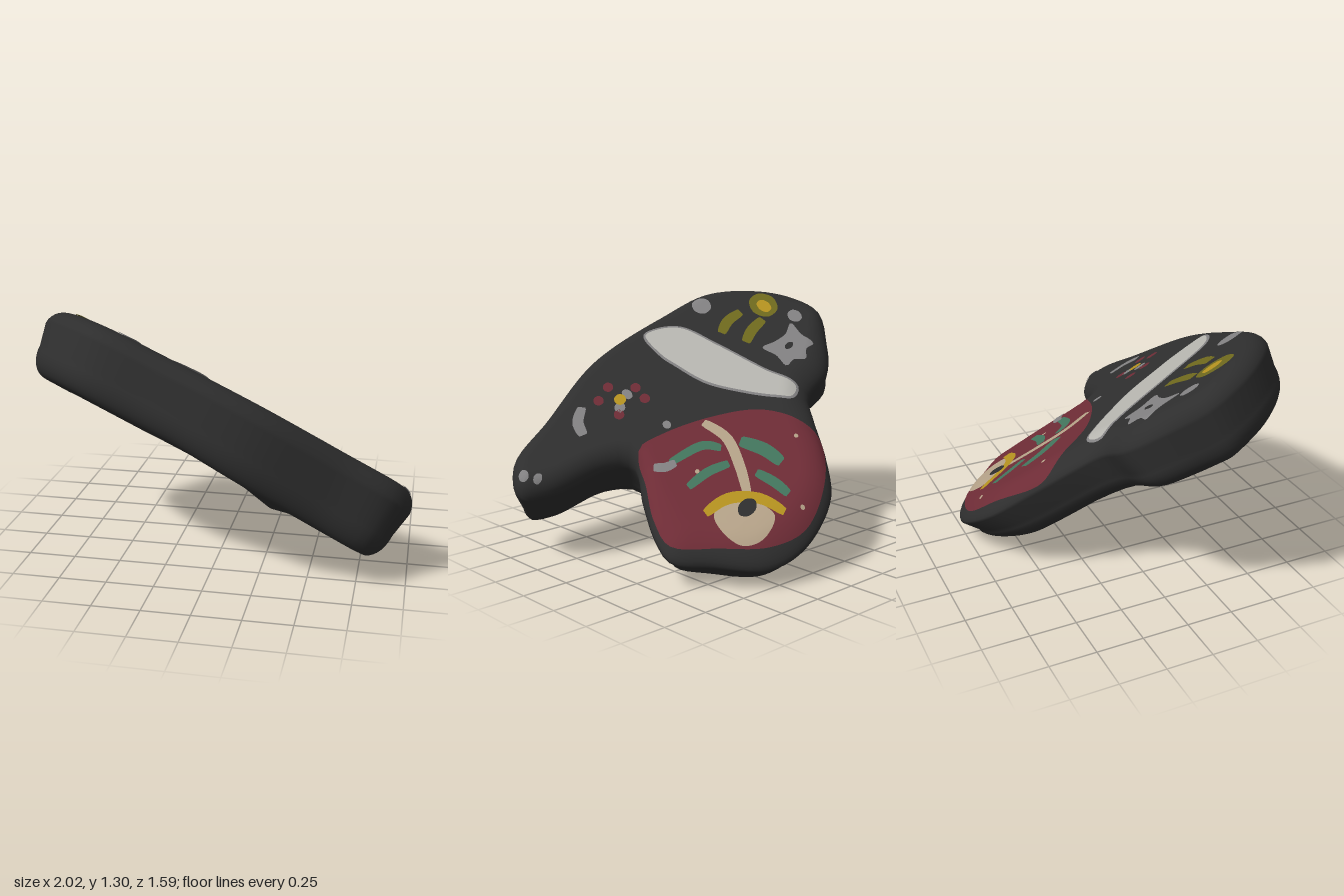
import * as THREE from 'three';
import { mergeVertices } from 'three/addons/utils/BufferGeometryUtils.js';

const mat = (name, color) => new THREE.MeshStandardMaterial({ name, color, side: THREE.DoubleSide });
const charcoal = mat('charcoal', 0x2e2e2e), red = mat('dark red', 0x6e2c36), green = mat('leaf green', 0x42755d);
const pale = mat('pale grey', 0xb7b6b0), grey = mat('mid grey', 0x828182), olive = mat('olive', 0x6f691d);
const gold = mat('gold', 0xb5921f), beige = mat('beige', 0xb5a288);

const EDGE = 0.09, DROP = 0.1, DEPTH = 0.36;
const clamp01 = v => Math.min(1, Math.max(0, v));
const bump = (x, z, cx, cz, r) => Math.exp(-((x - cx) ** 2 + (z - cz) ** 2) / (r * r));

// The slab lies on a tilted plane: x and z place a point on it, w is the height along its normal
const N = new THREE.Vector3(0.483, 1, -0.525).normalize();
function place(x, z, w) {
  if (w < 0) {
    // thicker at the toe and the notch, thinner along the lobe
    w *= 1 + 0.12 * clamp01(2.6 * Math.max(0, x) * Math.max(0, z)) - 0.09 * clamp01(-3 * z)
      + 0.14 * bump(x, z, 0.45, 0.1, 0.15) - 0.2 * bump(x, z, 0.68, -0.35, 0.2);
    // the underside flares out where the lobe meets the wide end
    const flare = 0.1 * -w / DEPTH * bump(x, z, -0.62, -0.22, 0.25);
    x -= 0.55 * flare;
    z -= 0.83 * flare;
  }
  // the lobe tapers and droops at its tip
  const tip = clamp01((-z - 0.55) / 0.28) ** 2;
  w = w * (1 - 0.3 * tip) - 0.04 * tip;
  return [x + w * N.x, 0.79 - 0.483 * x + 0.525 * z + w * N.y, z + w * N.z];
}

// Closed smooth outline through a few points
function smooth(points, count) {
  const curve = new THREE.CatmullRomCurve3(points.map(([x, z]) => new THREE.Vector3(x, z, 0)), true);
  return curve.getSpacedPoints(count).slice(0, -1).map(p => new THREE.Vector2(p.x, p.y));
}

// Moves a closed outline inwards, optionally more in some places
const inset = (pts, d, factor = () => 1) => pts.map((p, i) => {
  const a = pts[(i + pts.length - 1) % pts.length], b = pts[(i + 1) % pts.length];
  const t = b.clone().sub(a).normalize(), k = d * factor(p);
  return new THREE.Vector2(p.x - t.y * k, p.y + t.x * k);
});

const outline = smooth([
  [0.14, -0.83], [0.355, -0.78], [0.55, -0.59], [0.69, -0.44], [0.68, -0.32], [0.595, -0.12], [0.5, 0.07],
  [0.62, 0.16], [0.91, 0.245], [1.035, 0.35], [0.965, 0.5], [0.69, 0.585], [0.35, 0.69], [0.155, 0.705],
  [-0.195, 0.67], [-0.515, 0.61], [-0.75, 0.435], [-0.89, 0.24], [-0.935, 0.05], [-0.82, -0.1],
  [-0.67, -0.22], [-0.47, -0.27], [-0.4, -0.38], [-0.28, -0.59], [-0.14, -0.75]], 130);

const roundness = p => 1 + 0.8 * clamp01(-3 * p.y); // softer rim around the red lobe

function geometry(positions, index) {
  const g = new THREE.BufferGeometry();
  g.setAttribute('position', new THREE.Float32BufferAttribute(positions, 3));
  g.setIndex(index);
  return g;
}

// Hollow slab: rounded rim rows, a closed top and an underside with an opening
function slab() {
  const rows = [], steps = 8, n = outline.length;
  for (let i = 0; i <= steps; i++) {
    const a = i / steps * Math.PI / 2;
    rows.push([EDGE * (1 - Math.sin(a)), -DROP * (1 - Math.cos(a))]);
  }
  for (let i = 0; i <= steps; i++) {
    const a = i / steps * Math.PI / 2;
    rows.push([0.025 + 0.09 * (1 - Math.cos(a)), -DEPTH + 0.14 * (1 - Math.sin(a))]);
  }
  const pos = [], index = [];
  rows.forEach(([d, w]) => inset(outline, d, roundness).forEach(p => pos.push(...place(p.x, p.y, w))));
  for (let r = 0; r < rows.length - 1; r++) {
    for (let i = 0; i < n; i++) {
      const a = r * n + i, b = r * n + (i + 1) % n;
      index.push(a, b, a + n, b, b + n, a + n);
    }
  }
  const top = THREE.ShapeUtils.triangulateShape(inset(outline, EDGE, roundness), []);
  top.forEach(([a, b, c]) => index.push(a, c, b));
  const hole = [[-0.265, 0.12], [-0.03, 0.4], [0.26, 0.3], [0.23, -0.37]].map(p => new THREE.Vector2(...p));
  const base = (rows.length - 1) * n;
  hole.forEach(p => pos.push(...place(p.x, p.y, -DEPTH)));
  const bottom = THREE.ShapeUtils.triangulateShape(inset(outline, 0.115, roundness), [hole]);
  bottom.forEach(t => index.push(...t.map(i => base + i)));
  const g = mergeVertices(geometry(pos, index));
  g.computeVertexNormals();
  return g;
}

// Height of the rounded top surface at a point
function surface(x, z) {
  let s = 0;
  outline.forEach((a, i) => {
    const b = outline[(i + 1) % outline.length], ex = b.x - a.x, ez = b.y - a.y;
    const t = clamp01(((x - a.x) * ex + (z - a.y) * ez) / (ex * ex + ez * ez));
    const d = Math.hypot(x - a.x - t * ex, z - a.y - t * ez);
    s = Math.max(s, 1 - d / (EDGE * roundness(a)));
  });
  return -DROP * (1 - Math.sqrt(1 - s * s));
}

// Painted patch draped on the top, made of rings shrinking to its middle
function patchGeometry(pts, lift) {
  const c = pts.reduce((s, p) => s.add(p), new THREE.Vector2()).divideScalar(pts.length);
  const scales = [1, 0.97, 0.94, 0.91, 0.88, 0.84, 0.8, 0.75, 0.7, 0.6, 0.4, 0], n = pts.length, pos = [], index = [];
  scales.forEach(k => pts.forEach(p => {
    const x = c.x + (p.x - c.x) * k, z = c.y + (p.y - c.y) * k;
    pos.push(...place(x, z, surface(x, z) + lift));
  }));
  for (let r = 0; r < scales.length - 1; r++) {
    for (let i = 0; i < n; i++) {
      const a = r * n + i, b = r * n + (i + 1) % n;
      index.push(a, a + n, b, b, a + n, b + n);
    }
  }
  const g = geometry(pos, index);
  g.computeVertexNormals();
  return g;
}

// Painted stroke along a path, slightly narrower at its ends
function strokeGeometry(points, width, lift) {
  const curve = new THREE.SplineCurve(points.map(p => new THREE.Vector2(...p))), pos = [], index = [], n = 14;
  for (let i = 0; i <= n; i++) {
    const p = curve.getPoint(i / n), t = curve.getTangent(i / n);
    const h = width / 2 * (0.65 + 0.35 * Math.sqrt(Math.sin(Math.PI * Math.min(i, n - i) / n)));
    for (const s of [-h, h]) {
      const x = p.x - t.y * s, z = p.y + t.x * s;
      pos.push(...place(x, z, surface(x, z) + lift));
    }
    if (i < n) index.push(2 * i, 2 * i + 1, 2 * i + 2, 2 * i + 1, 2 * i + 3, 2 * i + 2);
  }
  const g = geometry(pos, index);
  g.computeVertexNormals();
  return g;
}

export function createModel() {
  const group = new THREE.Group();
  const add = (name, g, m) => {
    const mesh = new THREE.Mesh(g, m);
    mesh.name = name;
    group.add(mesh);
  };
  const patch = (name, points, m, lift = 0.005) => add(name, patchGeometry(smooth(points, 60), lift), m);
  const stroke = (name, points, width, m, lift = 0.005) => add(name, strokeGeometry(points, width, lift), m);
  const dot = (name, x, z, rx, rz, m, lift = 0.005) => patch(name,
    [0, 1, 2, 3, 4, 5].map(i => [x + rx * Math.cos(i * Math.PI / 3), z + rz * Math.sin(i * Math.PI / 3)]), m, lift);

  add('body', slab(), charcoal);

  // Red field with a flower, also seen from inside the hollow body
  const field = smooth([[-0.32, -0.5], [-0.18, -0.67], [0.085, -0.785], [0.3, -0.73], [0.5, -0.56], [0.655, -0.4],
    [0.63, -0.25], [0.54, -0.08], [0.45, 0.08], [0.3, 0.06], [0.03, -0.05], [-0.18, -0.19], [-0.29, -0.36]], 80);
  add('redField', patchGeometry(field, 0.005), red);
  add('redFieldInside', patchGeometry(field, -0.006), red);
  const leaves = [
    [[[0.05, -0.62], [0.06, -0.53], [0.09, -0.43]], 0.055],
    [[[-0.045, -0.48], [-0.03, -0.37], [0.03, -0.25]], 0.075],
    [[[0.16, -0.3], [0.27, -0.26], [0.4, -0.25]], 0.05],
    [[[0.13, -0.21], [0.2, -0.13], [0.38, -0.09]], 0.05]];
  for (const [path, width] of leaves) {
    stroke('leaf', path, width, green, 0.008);
    stroke('leafInside', path, width, green, -0.009);
  }
  stroke('stem', [[0.1, -0.04], [0.07, -0.19], [0.13, -0.35], [0.205, -0.48]], 0.058, beige, 0.009);
  patch('flowerHead', [[0.18, -0.65], [0.3, -0.69], [0.4, -0.64], [0.43, -0.53], [0.4, -0.44], [0.3, -0.46], [0.2, -0.55]],
    beige, 0.008);
  stroke('flowerCup', [[0.13, -0.67], [0.17, -0.55], [0.25, -0.46], [0.33, -0.42], [0.43, -0.41]], 0.06, gold, 0.0095);
  dot('flowerCentre', 0.255, -0.53, 0.055, 0.04, charcoal, 0.0098);
  for (const [x, z] of [[-0.21, -0.43], [0.04, -0.71], [0.31, -0.22]]) dot('speck', x, z, 0.012, 0.012, beige, 0.008);
  stroke('leafTip', [[0.36, -0.11], [0.42, -0.09], [0.46, -0.05]], 0.05, grey, 0.009);

  // Pale band across the body
  const band = smooth([[-0.45, -0.22], [-0.37, -0.26], [-0.29, -0.19], [-0.18, -0.05], [-0.07, 0.13], [-0.02, 0.32],
    [0, 0.43], [-0.02, 0.6], [-0.1, 0.59], [-0.22, 0.5], [-0.3, 0.27], [-0.385, -0.03]], 90);
  add('bandBorder', patchGeometry(band, 0.005), grey);
  add('band', patchGeometry(inset(band, 0.013), 0.008), pale);

  // Marks on the wide end
  patch('greyMark', [[-0.71, -0.1], [-0.65, -0.1], [-0.6, -0.14], [-0.545, -0.1], [-0.485, -0.1], [-0.49, -0.015],
    [-0.47, 0.075], [-0.555, 0.055], [-0.635, 0.05], [-0.71, 0.08], [-0.7, -0.015]], grey);
  dot('greyMarkCentre', -0.59, -0.02, 0.03, 0.018, charcoal, 0.008);
  dot('greySpot', -0.765, 0.1, 0.04, 0.045, grey);
  dot('greySpot', -0.41, 0.525, 0.055, 0.06, grey);
  dot('oliveFlower', -0.685, 0.28, 0.08, 0.09, olive);
  dot('oliveFlowerCentre', -0.68, 0.27, 0.036, 0.05, gold, 0.008);
  stroke('olivePetal', [[-0.61, 0.21], [-0.51, 0.2], [-0.425, 0.165]], 0.065, olive);
  stroke('olivePetal', [[-0.55, 0.335], [-0.45, 0.34], [-0.365, 0.305]], 0.065, olive);

  // Small blossom and spots on the narrow end
  dot('blossomPetal', 0.29, 0.37, 0.025, 0.035, grey);
  dot('blossomPetal', 0.37, 0.335, 0.03, 0.03, grey);
  dot('blossomCentre', 0.34, 0.37, 0.032, 0.034, gold, 0.008);
  for (const [x, z] of [[0.235, 0.285], [0.4, 0.305], [0.23, 0.37], [0.43, 0.445], [0.34, 0.475]]) {
    dot('redSpot', x, z, 0.028, 0.03, red);
  }
  stroke('greyStroke', [[0.615, 0.34], [0.59, 0.42], [0.52, 0.475]], 0.06, grey);
  dot('greySpot', 0.25, 0.085, 0.022, 0.025, grey);
  dot('greySpot', 0.93, 0.315, 0.025, 0.02, grey);
  dot('greySpot', 0.975, 0.375, 0.025, 0.03, grey);

  // Stand on the ground, centred
  const box = new THREE.Box3().setFromObject(group), centre = box.getCenter(new THREE.Vector3());
  group.position.set(-centre.x, -box.min.y, -centre.z);
  return group;
}
